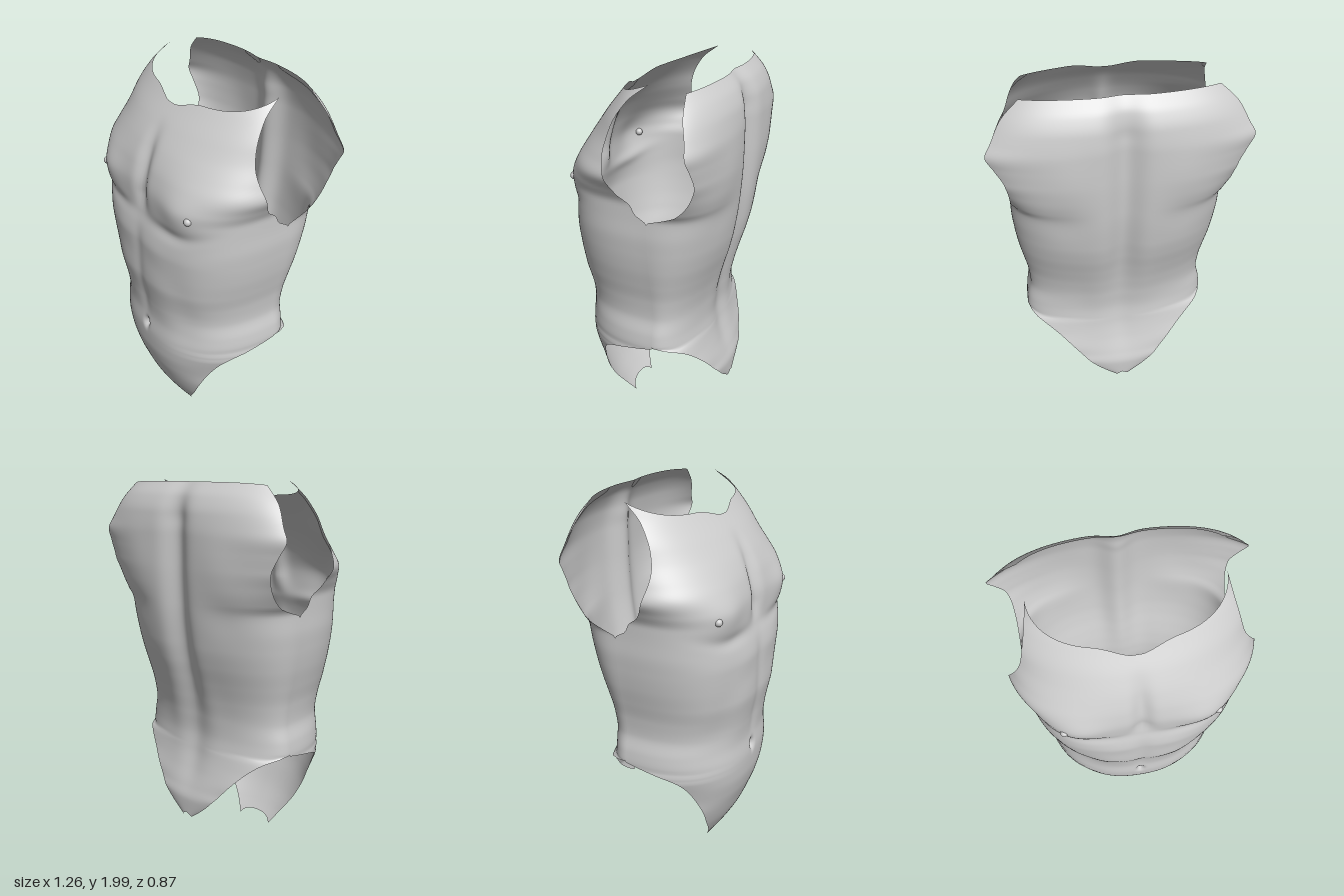
import * as THREE from 'three';

// Smooth monotone curve through [y, value] pairs sorted by y
function curve(pts) {
  const n = pts.length;
  const d = pts.slice(1).map((p, i) => (p[1] - pts[i][1]) / (p[0] - pts[i][0]));
  const m = pts.map((_, i) => {
    if (i === 0) return d[0];
    if (i === n - 1) return d[n - 2];
    return d[i - 1] * d[i] <= 0 ? 0 : (2 * d[i - 1] * d[i]) / (d[i - 1] + d[i]);
  });
  return (y) => {
    let i = 0;
    while (i < n - 2 && y > pts[i + 1][0]) i++;
    const h = pts[i + 1][0] - pts[i][0];
    const t = Math.min(1, Math.max(0, (y - pts[i][0]) / h));
    const a = t * t * (3 - 2 * t);
    return pts[i][1] * (1 - a) + pts[i + 1][1] * a
      + h * t * (1 - t) * ((1 - t) * m[i] - t * m[i + 1]);
  };
}

const Z0 = -0.1; // depth of the side seams
const bump = (x, y, cx, cy, sx, sy) => Math.exp(-(((x - cx) / sx) ** 2) - ((y - cy) / sy) ** 2);
const step = THREE.MathUtils.smoothstep;

// Waist outline shared by the front and back shells
const side = [[0.635, 0.493], [0.7, 0.487], [0.8, 0.467], [0.9, 0.475], [1.0, 0.495],
  [1.1, 0.515], [1.2, 0.528], [1.3, 0.535], [1.37, 0.534]];

// edgeX / edgeZ trace the leg cut, the side seam and the armhole
const front = {
  sign: 1,
  edgeX: curve([[0.01, 0.11], [0.1, 0.17], [0.2, 0.24], [0.3, 0.295], [0.42, 0.355], [0.52, 0.415],
    [0.57, 0.455], [0.6, 0.483], ...side, [1.45, 0.535], [1.52, 0.56], [1.59, 0.588], [1.66, 0.56],
    [1.75, 0.515], [1.85, 0.487], [2, 0.44]]),
  edgeZ: curve([[0.01, 0.19], [0.1, 0.23], [0.2, 0.255], [0.3, 0.265], [0.4, 0.25], [0.5, 0.222],
    [0.55, 0.19], [0.59, 0.1], [0.62, -0.04], [0.635, Z0], [1.365, Z0], [1.41, -0.04], [1.45, -0.02],
    [1.5, 0.04], [1.6, 0.09], [1.7, 0.11], [1.8, 0.09], [1.92, 0.02], [2, -0.08]]),
  mid: curve([[0.01, 0.195], [0.1, 0.255], [0.2, 0.31], [0.3, 0.35], [0.4, 0.385], [0.5, 0.405],
    [0.6, 0.41], [0.72, 0.4], [0.82, 0.405], [1, 0.43], [1.2, 0.43], [1.33, 0.412], [1.4, 0.405],
    [1.5, 0.4], [1.6, 0.378], [1.7, 0.335], [1.8, 0.27], [1.9, 0.19], [2, 0.11]]),
  power: curve([[0, 2.2], [0.5, 2.4], [0.8, 2.6], [1.2, 3], [1.45, 3.4], [1.6, 2.8], [1.75, 2.2], [2, 2]]),
  top: (u) => 1.89 + 0.035 * step(u, 0.08, 0.45) + 0.075 * u ** 5,
  bottom: (u) => 0.05 - 0.04 * u ** 3,
  relief: (x, y) => {
    const fold = 1.35 + 1.1 * Math.max(0, x - 0.25) ** 2;
    return -0.03 * Math.exp(-((x / 0.045) ** 2)) * step(y, 1.36, 1.47) * (1 - step(y, 1.6, 1.85)) // breastbone
      - 0.006 * Math.exp(-((x / 0.04) ** 2)) * step(y, 0.65, 0.8) * (1 - step(y, 1.2, 1.35)) // belly line
      + 0.026 * bump(x, y, 0.32, 1.49, 0.13, 0.1) // chest
      - 0.013 * bump(x, y, 0.25, fold, 0.17, 0.035) // fold under the chest
      - 0.012 * bump(x, y, 0, 1.38, 0.09, 0.06)
      + 0.004 * (bump(x, y, 0.13, 1.22, 0.09, 0.08) + bump(x, y, 0.13, 1.02, 0.09, 0.08)
        + bump(x, y, 0.13, 0.84, 0.09, 0.08)) // stomach muscles
      - 0.01 * bump(x, y, 0.3, 0.85, 0.08, 0.25)
      - 0.035 * bump(x, y, 0, 0.64, 0.018, 0.028); // navel
  },
};

const back = {
  sign: -1,
  edgeX: curve([[0.23, 0.03], [0.3, 0.12], [0.38, 0.2], [0.45, 0.26], [0.53, 0.335], [0.6, 0.42],
    [0.625, 0.47], ...side, [1.43, 0.535], [1.52, 0.54], [1.6, 0.555], [1.68, 0.595], [1.745, 0.628],
    [1.8, 0.6], [1.9, 0.545], [2, 0.44]]),
  edgeZ: curve([[0.23, -0.362], [0.35, -0.358], [0.4, -0.34], [0.45, -0.325], [0.53, -0.285],
    [0.6, -0.235], [0.625, -0.18], [0.635, Z0], [1.37, Z0], [1.395, -0.17], [1.43, -0.25], [1.52, -0.32],
    [1.6, -0.345], [1.7, -0.335], [1.8, -0.315], [1.9, -0.285], [2, -0.26]]),
  mid: curve([[0.23, -0.37], [0.33, -0.372], [0.4, -0.355], [0.5, -0.325], [0.6, -0.303], [0.7, -0.292],
    [0.8, -0.3], [0.9, -0.32], [1, -0.348], [1.1, -0.378], [1.2, -0.4], [1.4, -0.423], [1.6, -0.43],
    [1.75, -0.43], [1.85, -0.42], [1.93, -0.39], [2, -0.335]]),
  power: curve([[0.2, 2.5], [0.6, 2.1], [0.8, 2.05], [1.1, 2.2], [1.35, 2.5], [1.5, 2.9], [2, 2.8]]),
  top: (u) => 1.997 - 0.012 * u ** 4,
  bottom: (u) => 0.255 - 0.025 * u,
  relief: (x, y) =>
    -(0.015 + 0.033 * step(y, 0.75, 1.2) * (1 - step(y, 1.8, 2))) * Math.exp(-((x / 0.075) ** 2))
      * step(y, 0.3, 0.6) // spine
    + 0.01 * bump(x, y, 0.27, 1.62, 0.13, 0.16) // shoulder blades
    - 0.006 * bump(x, y, 0.3, 1.36, 0.1, 0.1)
    + 0.006 * bump(x, y, 0.13, 0.85, 0.07, 0.2), // lower back
};

// Point on a shell: u runs from edge to edge, v from bottom to top
function shellPoint(s, u, v) {
  const a = Math.abs(u);
  const y = THREE.MathUtils.lerp(s.bottom(a), s.top(a), v);
  const p = s.power(y), depth = s.mid(y) - Z0;
  const ratio = THREE.MathUtils.clamp((s.edgeZ(y) - Z0) / depth, 0, 0.985);
  const width = s.edgeX(y) / (1 - ratio ** p) ** (1 / p);
  const angle = Math.acos(ratio ** (p / 2)) * a ** 1.4;
  const x = width * Math.sin(angle) ** (2 / p);
  const z = Z0 + depth * Math.max(0, Math.cos(angle)) ** (2 / p);
  return [Math.sign(u) * x, y, z + s.sign * s.relief(x, y) * (1 - a ** 6)];
}

function shellGeometry(s, cols = 120, rows = 150) {
  const pos = [], index = [];
  for (let j = 0; j <= rows; j++) {
    for (let i = 0; i <= cols; i++) pos.push(...shellPoint(s, (i / cols) * 2 - 1, j / rows));
  }
  for (let j = 0; j < rows; j++) {
    for (let i = 0; i < cols; i++) {
      const a = j * (cols + 1) + i, b = a + 1, c = b + cols + 1, d = c - 1;
      if (s.sign > 0) index.push(a, b, c, a, c, d);
      else index.push(a, c, b, a, d, c);
    }
  }
  const g = new THREE.BufferGeometry();
  g.setAttribute('position', new THREE.Float32BufferAttribute(pos, 3));
  g.setIndex(index);
  g.computeVertexNormals();
  return g;
}

export function createModel() {
  const group = new THREE.Group();
  group.name = 'torsoShell';
  const grey = new THREE.MeshStandardMaterial({ color: 0xcccccc, side: THREE.DoubleSide });
  grey.name = 'light grey';

  const add = (name, geometry) => {
    const mesh = new THREE.Mesh(geometry, grey);
    mesh.name = name;
    group.add(mesh);
    return mesh;
  };
  add('frontTorso', shellGeometry(front));
  add('backTorso', shellGeometry(back));

  // Nipples, seated on the chest surface at their height
  for (const sx of [-1, 1]) {
    let best = [0, 0, 0];
    for (let i = 0; i <= 200; i++) {
      const u = i / 200, v = (1.48 - front.bottom(u)) / (front.top(u) - front.bottom(u));
      const q = shellPoint(front, u, v);
      if (Math.abs(q[0] - 0.37) < Math.abs(best[0] - 0.37)) best = q;
    }
    const nipple = add(sx > 0 ? 'leftNipple' : 'rightNipple', new THREE.SphereGeometry(0.02, 16, 12));
    nipple.position.set(sx * best[0], best[1], best[2] - 0.006);
  }
  return group;
}
